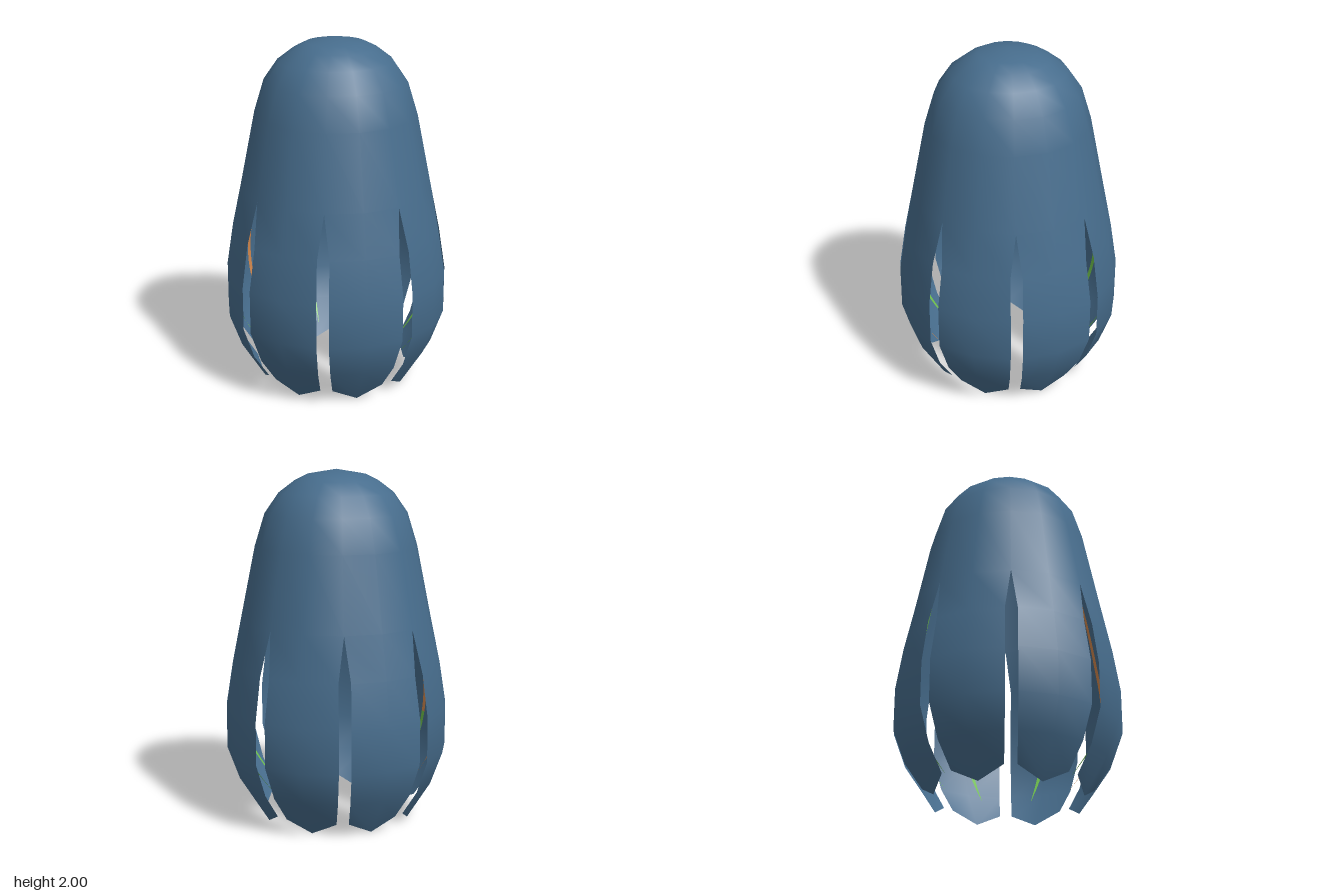
import * as THREE from 'three';
import { mergeVertices } from 'three/addons/utils/BufferGeometryUtils.js';

const PETALS = 8;
const STEP = (Math.PI * 2) / PETALS;
const HALF_SLIT = 0.034;

// Shell profile from crown to hem: [radius, height]
const PROFILE = [
  [0, 2], [0.165, 1.972], [0.235, 1.938], [0.325, 1.87], [0.405, 1.755], [0.462, 1.57],
  [0.547, 1.15], [0.597, 0.9], [0.636, 0.655], [0.636, 0.405], [0.567, 0.215], [0.468, 0.07],
];
const SLIT_ROW = 6; // slits open below this row

// Centre line of the inner ribbons: [radius, height, half width]
const RIBBON = [
  [0.45, 1.45, 0.004], [0.52, 1.15, 0.012], [0.568, 0.9, 0.015], [0.598, 0.7, 0.015],
  [0.59, 0.53, 0.015], [0.548, 0.375, 0.013], [0.48, 0.265, 0.009], [0.37, 0.125, 0.001],
];
const RIBBON_STEPS = 28;
const RIBBON_SPLIT = 16; // step where the lower half begins

// Joins a grid of points (rows run downward, columns run around) into a surface
function gridGeometry(rows) {
  const cols = rows[0].length;
  const index = [];
  for (let i = 0; i < rows.length - 1; i++) {
    for (let j = 0; j < cols - 1; j++) {
      const a = i * cols + j, b = a + cols;
      index.push(a, b, b + 1);
      if (rows[i][j].distanceTo(rows[i][j + 1]) > 1e-5) index.push(a, b + 1, a + 1);
    }
  }
  const g = new THREE.BufferGeometry().setFromPoints(rows.flat());
  g.setIndex(index);
  return g;
}

const polar = (r, a, y) => new THREE.Vector3(r * Math.sin(a), y, r * Math.cos(a));

// Domed shell whose lower half splits into pointed petals
function shellGeometry() {
  const points = [], index = [];
  for (let k = 0; k < PETALS; k++) {
    const start = k * STEP;
    const rows = PROFILE.map(([r, y], i) => {
      const inset = i > SLIT_ROW ? Math.asin(HALF_SLIT / r) : 0;
      const last = i === PROFILE.length - 1;
      return [
        polar(r, start + inset, y),
        polar(last ? 0.433 : r, start + STEP / 2, last ? 0 : y),
        polar(r, start + STEP - inset, y),
      ];
    });
    const offset = points.length;
    const sector = gridGeometry(rows);
    points.push(...rows.flat());
    for (const n of sector.index.array) index.push(n + offset);
  }
  let g = new THREE.BufferGeometry().setFromPoints(points);
  g.setIndex(index);
  g = mergeVertices(g, 1e-4);
  g.computeVertexNormals();
  return g;
}

// Thin tapering strip down the inside of a petal, between two steps of its curve
function ribbonGeometry(from, to) {
  const curve = new THREE.CatmullRomCurve3(RIBBON.map(([r, y, w]) => new THREE.Vector3(w, y, r)));
  const rows = curve.getPoints(RIBBON_STEPS).slice(from, to + 1).map((p) => [
    new THREE.Vector3(-p.x, p.y, p.z),
    new THREE.Vector3(p.x, p.y, p.z),
  ]);
  const g = gridGeometry(rows);
  g.computeVertexNormals();
  return g;
}

export function createModel() {
  const mat = (name, color) => {
    const m = new THREE.MeshStandardMaterial({ color, side: THREE.DoubleSide });
    m.name = name;
    return m;
  };
  const blue = mat('slate blue', 0x476d8d);
  const green = mat('leaf green', 0x6cbb4a);
  const orange = mat('soft orange', 0xd0864c);

  const model = new THREE.Group();
  model.name = 'petalledDome';

  const shell = new THREE.Mesh(shellGeometry(), blue);
  shell.name = 'shell';
  model.add(shell);

  // Ribbons: orange in the front half, green at the back and on the two front tips
  const upper = ribbonGeometry(0, RIBBON_SPLIT);
  const lower = ribbonGeometry(RIBBON_SPLIT, RIBBON_STEPS);
  for (let k = 0; k < PETALS; k++) {
    const angle = (k + 0.5) * STEP;
    const facing = Math.cos(angle);
    const ribbon = new THREE.Group();
    ribbon.name = 'ribbon' + (k + 1);
    ribbon.rotation.y = angle;
    const top = new THREE.Mesh(upper, facing > 0 ? orange : green);
    top.name = 'ribbonUpper';
    const tip = new THREE.Mesh(lower, facing > 0 && facing < 0.7 ? orange : green);
    tip.name = 'ribbonLower';
    ribbon.add(top, tip);
    model.add(ribbon);
  }
  return model;
}
